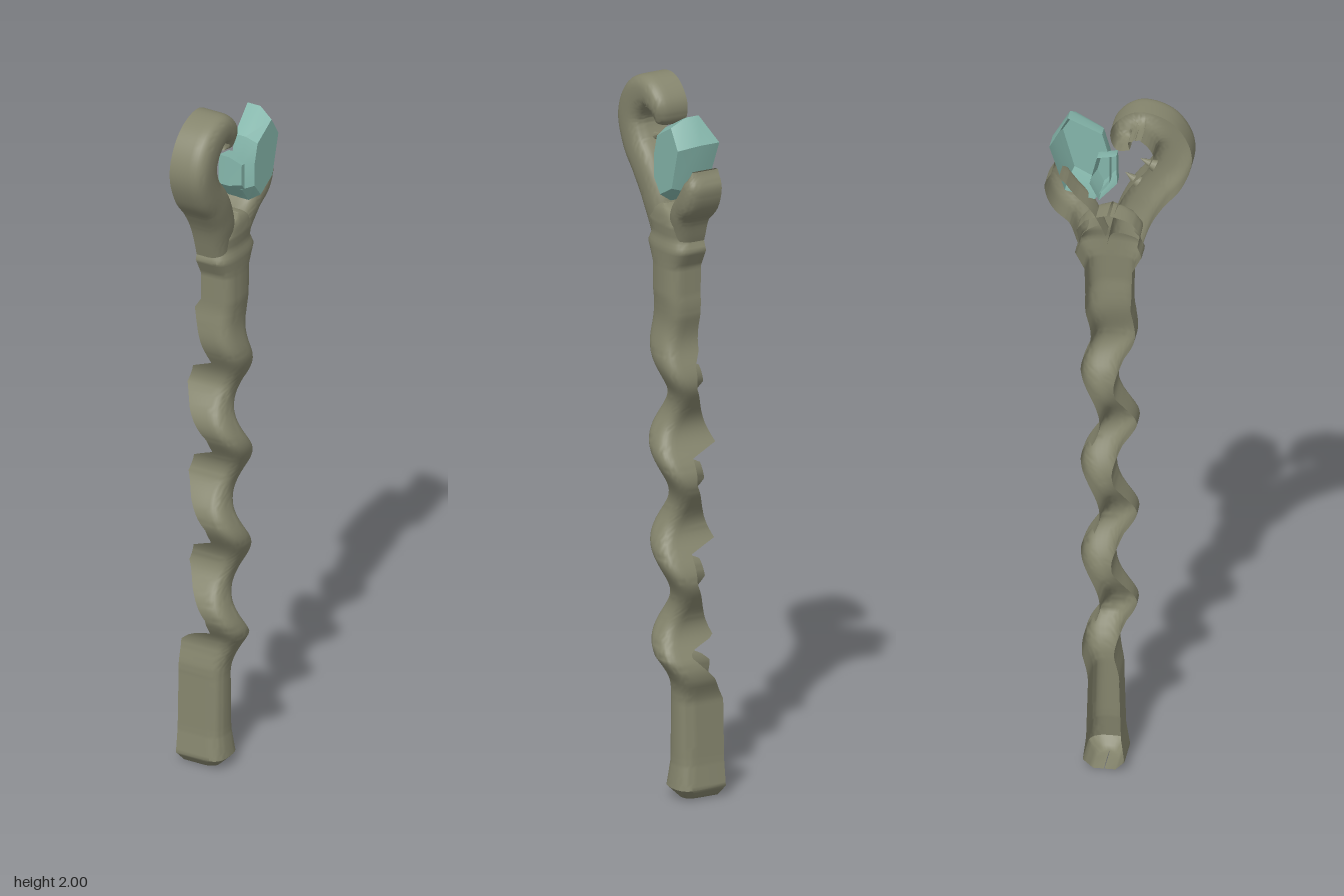
import * as THREE from 'three';
import { toCreasedNormals } from 'three/addons/utils/BufferGeometryUtils.js';

const wood = new THREE.MeshStandardMaterial({ color: 0x85856d, side: THREE.DoubleSide });
wood.name = 'weathered wood';
const crystal = new THREE.MeshStandardMaterial({ color: 0x84b5aa, side: THREE.DoubleSide });
crystal.name = 'teal crystal';

// Piecewise linear lookup in a list of [position, value...]
function lookup(table, y, k = 1) {
  if (y <= table[0][0]) return table[0][k];
  for (let i = 1; i < table.length; i++) {
    const a = table[i - 1], b = table[i];
    if (y <= b[0]) return a[k] + (b[k] - a[k]) * (y - a[0]) / (b[0] - a[0]);
  }
  return table[table.length - 1][k];
}

// Rounded channel open towards -x. Row: y, z, side direction, half width, front x, back x of both walls
function channel(name, rows) {
  const N = 16, pos = [], index = [];
  for (const r of rows) {
    const xm = r.front - 0.045;
    for (let j = 0; j <= N + 2; j++) {
      const a = (Math.min(Math.max(j - 1, 0), N) / N - 0.5) * Math.PI;
      const s = Math.sign(a) * Math.pow(Math.abs(Math.sin(a)), 0.75) * r.hw;
      let x = xm + 0.045 * Math.pow(Math.max(Math.cos(a), 0), 0.75);
      if (j === 0) x = Math.min(xm, r.backM);
      if (j === N + 2) x = Math.min(xm, r.backP);
      pos.push(x, r.y + s * r.ny, r.z + s * r.nz);
    }
  }
  const w = N + 3;
  for (let i = 0; i < rows.length - 1; i++) {
    for (let j = 0; j < w - 1; j++) {
      const a = i * w + j;
      index.push(a, a + w, a + 1, a + 1, a + w, a + w + 1);
    }
  }
  const g = new THREE.BufferGeometry();
  g.setAttribute('position', new THREE.Float32BufferAttribute(pos, 3));
  g.setIndex(index);
  const mesh = new THREE.Mesh(toCreasedNormals(g, 0.9), wood);
  mesh.name = name;
  return mesh;
}

// Twisted shaft with the grip at its foot and a collar at its head
function shaft() {
  const profile = [ // y, half width, front x, twist amount
    [0, 0.03, 0.005, 0], [0.03, 0.056, 0.035, 0], [0.1, 0.047, 0.026, 0], [0.27, 0.042, 0.026, 0],
    [0.33, 0.048, 0.04, 0.5], [0.4, 0.046, 0.055, 1], [1.15, 0.048, 0.065, 1], [1.24, 0.055, 0.068, 0.7],
    [1.36, 0.064, 0.072, 0.2], [1.42, 0.062, 0.074, 0], [1.5, 0.064, 0.074, 0], [1.55, 0.09, 0.076, 0],
    [1.58, 0.078, 0.07, 0], [1.62, 0.086, 0.074, 0], [1.655, 0.06, 0.07, 0], [1.67, 0.004, 0.06, 0],
  ];
  // back edges of the two walls, with the winding flaps repeated up the shaft
  const plus = [[0, -0.09], [0.03, -0.1], [0.36, -0.1], [0.385, -0.07], [0.41, 0]];
  const minus = [[0, -0.09], [0.03, -0.1], [0.27, -0.1], [0.34, -0.06], [0.4, 0]];
  for (const t of [0.68, 0.95, 1.22]) {
    plus.push([t - 0.22, 0], [t - 0.14, -0.05], [t - 0.08, -0.08], [t - 0.03, -0.065], [t, 0]);
  }
  plus.push([1.25, -0.005], [1.39, -0.037], [1.42, -0.018]);
  for (const b of [0.415, 0.69, 0.96]) {
    minus.push([b, 0], [b + 0.03, -0.08], [b + 0.11, -0.045], [b + 0.2, 0]);
  }
  minus.push([1.22, 0], [1.26, -0.018]);
  const rows = [{ y: 0, z: -0.025, ny: 0, nz: 1, hw: 0.001, front: 0.005, backP: -0.09, backM: -0.09 }];
  for (let i = 0; i <= 167; i++) {
    const y = i * 0.01, tw = lookup(profile, y, 3), a = 2 * Math.PI * (y - 0.69) / 0.28;
    rows.push({
      y, z: -0.025 + 0.03 * tw * Math.sin(a), ny: 0, nz: 1, hw: lookup(profile, y),
      front: lookup(profile, y, 2) + 0.024 * tw * Math.cos(a),
      backP: lookup(plus, y), backM: lookup(minus, y),
    });
  }
  return channel('twistedShaft', rows);
}

// Curved limb through points [y, z, half width, front x]
function limb(name, pts, n) {
  const path = new THREE.CatmullRomCurve3(pts.map(p => new THREE.Vector3(0, p[0], p[1])));
  const size = new THREE.CatmullRomCurve3(pts.map(p => new THREE.Vector3(p[2], p[3], 0)), false, 'catmullrom', 0.3);
  const rows = [];
  for (let i = 0; i <= n; i++) {
    const c = path.getPoint(i / n), t = path.getTangent(i / n), s = size.getPoint(i / n);
    rows.push({ y: c.y, z: c.z, ny: -t.z, nz: t.y, hw: Math.max(s.x, 0.001), front: s.y, backP: -0.018, backM: -0.018 });
  }
  return channel(name, rows);
}

// Faceted crystal shell: outline [y, z, back x], front face pulled in towards the centre
function gem(name, outline, front, inset) {
  const n = outline.length, pos = [];
  const cy = outline.reduce((s, p) => s + p[0], 0) / n, cz = outline.reduce((s, p) => s + p[1], 0) / n;
  const back = outline.map(p => [p[2], p[0], p[1]]);
  const mid = outline.map(p => [(front + p[2]) / 2, p[0], p[1]]);
  const face = outline.map(p => [front, cy + (p[0] - cy) * inset, cz + (p[1] - cz) * inset]);
  for (let i = 0; i < n; i++) {
    const k = (i + 1) % n;
    for (const [a, b] of [[back, mid], [mid, face]]) {
      pos.push(...a[i], ...a[k], ...b[i], ...a[k], ...b[k], ...b[i]);
    }
    pos.push(...face[i], ...face[k], front, cy, cz);
  }
  const g = new THREE.BufferGeometry();
  g.setAttribute('position', new THREE.Float32BufferAttribute(pos, 3));
  const mesh = new THREE.Mesh(toCreasedNormals(g, 0.5), crystal);
  mesh.name = name;
  return mesh;
}

// Small thorn inside the hook
function thorn(y, z, angle) {
  const mesh = new THREE.Mesh(new THREE.ConeGeometry(0.018, 0.045, 8), wood);
  mesh.position.set(0.02, y, z);
  mesh.rotation.x = angle;
  mesh.name = 'thorn';
  return mesh;
}

export function createModel() {
  const group = new THREE.Group();
  group.name = 'staff';
  group.add(shaft());

  // Forked head
  group.add(limb('hook', [
    [1.57, 0.015, 0.045, 0.06], [1.67, 0.042, 0.05, 0.074], [1.74, 0.08, 0.052, 0.08], [1.8, 0.127, 0.052, 0.082],
    [1.87, 0.148, 0.052, 0.083], [1.93, 0.117, 0.052, 0.082], [1.955, 0.06, 0.045, 0.08],
    [1.93, 0.017, 0.036, 0.076], [1.895, 0.013, 0.025, 0.065], [1.88, 0.032, 0.001, 0.05],
  ], 70));
  group.add(limb('shortProng', [
    [1.59, -0.068, 0.04, 0.06], [1.66, -0.1, 0.036, 0.074], [1.705, -0.145, 0.037, 0.08],
    [1.75, -0.168, 0.03, 0.078], [1.795, -0.174, 0.003, 0.06],
  ], 30));
  group.add(thorn(1.775, 0.032, -0.9), thorn(1.825, 0.075, -1.1));

  // Crystals
  group.add(gem('largeCrystal', [
    [1.94, -0.14, 0.02], [1.89, -0.05, 0.035], [1.82, -0.03, 0.035], [1.74, -0.03, 0.035],
    [1.69, -0.07, 0.03], [1.73, -0.145, 0], [1.87, -0.184, -0.018],
  ], 0.1, 0.8));
  group.add(gem('smallCrystal', [
    [1.84, -0.008, 0.01], [1.755, -0.006, 0.01], [1.7, -0.055, 0.01], [1.75, -0.08, 0.01], [1.83, -0.06, 0.01],
  ], 0.075, 0.7));
  return group;
}
